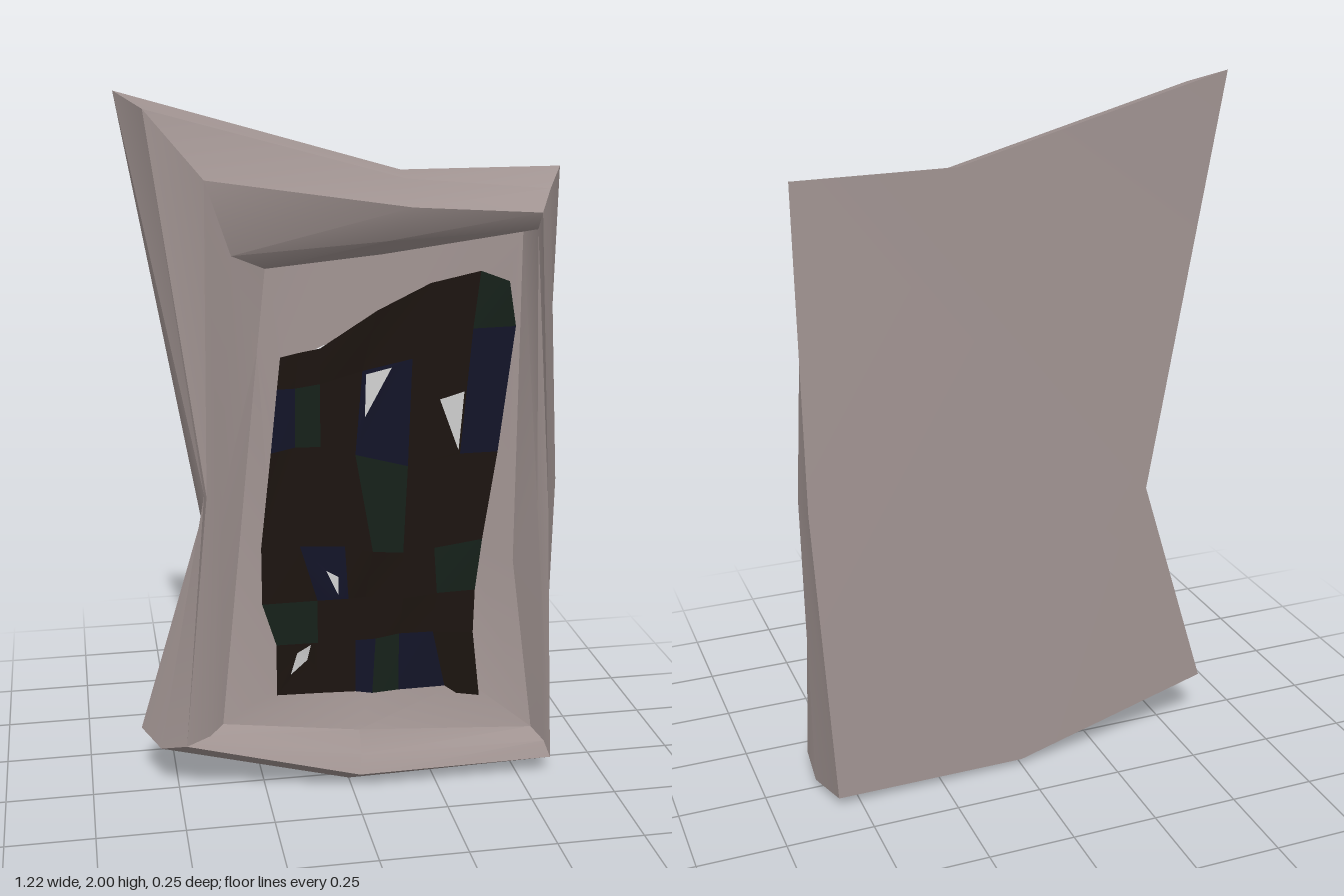
import * as THREE from 'three';
import { toCreasedNormals } from 'three/addons/utils/BufferGeometryUtils.js';

// Outlines run from bottom left, counter-clockwise seen from the front:
// bottom left, bottom, bottom right, right, top right, top, top left, left
const rings = [
  // back edge
  [[-.6, .165, -.075], [0, .02, -.11], [.565, .03, -.125], [.605, .9, -.088],
    [.6, 1.785, -.03], [.15, 1.785, -.02], [-.61, 2, -.06], [-.41, .81, -.055]],
  // outer bevel
  [[-.55, .145, .03], [0, 0, .03], [.6, .025, 0], [.603, .9, .03],
    [.545, 1.737, .07], [.15, 1.77, .052], [-.54, 1.96, .035], [-.41, .92, .065]],
  // front rim
  [[-.48, .175, .09], [.02, .05, .11], [.595, .055, .11], [.56, .85, .108],
    [.51, 1.68, .122], [.16, 1.7, .105], [-.39, 1.78, .08], [-.405, .92, .085]],
  // lip of the opening
  [[-.41, .19, .065], [.03, .1, .08], [.58, .1, .09], [.535, .85, .085],
    [.51, 1.63, .085], [.1, 1.605, .06], [-.32, 1.575, .045], [-.365, .88, .06]],
  // bottom of the recess
  [[-.37, .21, .035], [.03, .16, .04], [.55, .13, .05], [.49, .65, .01],
    [.49, 1.615, .01], [.1, 1.56, 0], [-.225, 1.53, 0], [-.25, 1.3, 0]],
  // seat of the glass
  [[-.19, .31, .01], [.08, .31, .01], [.355, .28, .01], [.36, .7, .01],
    [.44, 1.46, .01], [.15, 1.41, .01], [-.17, 1.27, .01], [-.2, 1, .01]],
];

function frameGeometry() {
  const pos = [];
  const tri = (a, b, c) => pos.push(...a, ...b, ...c);
  const n = 8;
  for (let r = 0; r < rings.length - 1; r++) {
    for (let i = 0; i < n; i++) {
      const j = (i + 1) % n;
      tri(rings[r][i], rings[r][j], rings[r + 1][j]);
      tri(rings[r][i], rings[r + 1][j], rings[r + 1][i]);
    }
  }
  // back panel, fanned from the notch on the left edge
  for (let i = 0; i < n - 2; i++) tri(rings[0][7], rings[0][i + 1], rings[0][i]);
  const g = new THREE.BufferGeometry();
  g.setAttribute('position', new THREE.Float32BufferAttribute(pos, 3));
  return toCreasedNormals(g, 0.4);
}

// Crooked grid of pane corners, top row first: x positions and heights
const paneX = [
  [-.19, -.14, -.08, .08, .23, .37, .45],
  [-.2, -.15, -.08, .04, .18, .35, .475],
  [-.22, -.15, -.08, .02, .17, .32, .43],
  [-.25, -.14, -.01, .07, .16, .25, .39],
  [-.25, -.09, 0, .05, .16, .26, .375],
  [-.21, -.09, .02, .08, .15, .25, .37],
  [-.21, -.08, .02, .07, .15, .29, .4],
];
const paneY = [
  [1.29, 1.3, 1.31, 1.41, 1.48, 1.51, 1.48],
  [1.2, 1.2, 1.21, 1.24, 1.27, 1.35, 1.35],
  [1.02, 1.03, 1.03, 1, .96, .99, .99],
  [.74, .74, .73, .71, .7, .71, .73],
  [.57, .57, .57, .57, .56, .57, .57],
  [.44, .44, .44, .44, .45, .45, .44],
  [.28, .28, .28, .27, .27, .27, .19],
];
const paneTints = ['bbbbbg', 'ugbubu', 'bbbgbb', 'bubbbg', 'gbbbbb', 'bbugub'];
const tints = { b: 0x1c1410, g: 0x16211a, u: 0x131428, pale: 0xcccccc };

// Pale chips set into some panes, keyed by row and column
const chips = {
  '1,3': [[.05, 1.23], [.12, 1.25], [.045, 1.11]],
  '1,4': [[.26, 1.15], [.33, 1.17], [.315, 1]],
  '3,1': [[-.065, .66], [-.03, .64], [-.03, .585]],
  '5,0': [[-.17, .345], [-.15, .41], [-.11, .435], [-.12, .385]],
};

const toPoints = (list) => list.map(([x, y]) => new THREE.Vector2(x, y));

// Glass piece whose corners lean slightly in and out
function paneGeometry(shape) {
  const g = new THREE.ShapeGeometry(shape);
  const p = g.attributes.position;
  for (let i = 0; i < p.count; i++) {
    p.setZ(i, .026 + .008 * Math.sin(37 * p.getX(i)) * Math.sin(29 * p.getY(i)));
  }
  g.computeVertexNormals();
  return g;
}

export function createModel() {
  const model = new THREE.Group();
  model.name = 'crookedWindow';

  const frame = new THREE.Mesh(frameGeometry(),
    new THREE.MeshStandardMaterial({ color: 0xa09391 }));
  frame.name = 'stoneFrame';
  model.add(frame);

  // Stained glass
  const glass = new THREE.Group();
  glass.name = 'stainedGlass';
  const materials = {};
  for (const key in tints) {
    materials[key] = new THREE.MeshStandardMaterial({ color: tints[key], side: THREE.DoubleSide });
  }
  const addPane = (shape, tint, name) => {
    const pane = new THREE.Mesh(paneGeometry(shape), materials[tint]);
    pane.name = name;
    glass.add(pane);
  };
  paneTints.forEach((row, r) => [...row].forEach((tint, c) => {
    const corner = (i, j) => [paneX[i][j], paneY[i][j]];
    const shape = new THREE.Shape(toPoints([
      corner(r + 1, c), corner(r + 1, c + 1), corner(r, c + 1), corner(r, c)]));
    const chip = chips[`${r},${c}`];
    if (chip) {
      shape.holes.push(new THREE.Path(toPoints(chip)));
      addPane(new THREE.Shape(toPoints(chip)), 'pale', 'paleChip');
    }
    addPane(shape, tint, 'glassPane');
  }));
  model.add(glass);
  return model;
}
